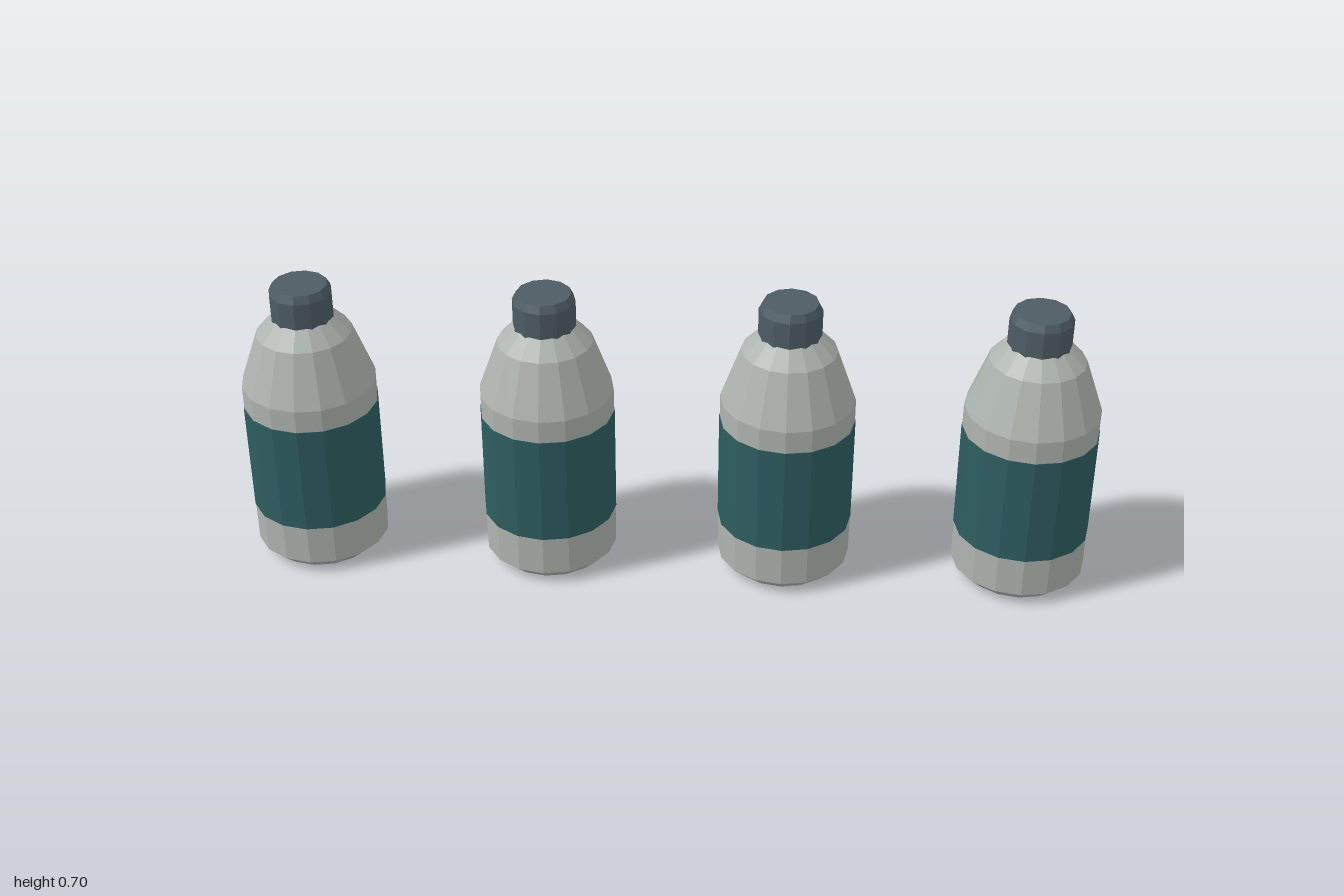
import * as THREE from 'three';

export function createModel() {
  const material = (name, color) => {
    const m = new THREE.MeshStandardMaterial({ color, flatShading: true });
    m.name = name;
    return m;
  };
  const bodyGrey = material('bodyGrey', 0xaeb4af);
  const labelTeal = material('labelTeal', 0x2e5d5f);
  const capSlate = material('capSlate', 0x4e5c64);

  // Faceted solid turned from [radius, height] pairs, listed bottom to top
  const turned = (profile, sides) =>
    new THREE.LatheGeometry(profile.map(([r, y]) => new THREE.Vector2(r, y)), sides);

  const parts = [
    // Body: chamfered foot, straight wall, sloping shoulder
    ['body', bodyGrey, turned([
      [0, 0], [0.125, 0], [0.157, 0.03], [0.157, 0.45],
      [0.111, 0.578], [0.07, 0.621], [0, 0.621],
    ], 16)],
    // Label: thin sleeve around the wall
    ['label', labelTeal, turned([
      [0.1565, 0.127], [0.1585, 0.127], [0.1585, 0.395], [0.1565, 0.395],
    ], 16)],
    // Cap: short cylinder with a chamfered top
    ['cap', capSlate, turned([
      [0, 0.612], [0.073, 0.612], [0.073, 0.682], [0.064, 0.7], [0, 0.7],
    ], 12)],
  ];

  // Row of four identical bottles
  const model = new THREE.Group();
  model.name = 'bottleRow';
  for (let i = 0; i < 4; i++) {
    const bottle = new THREE.Group();
    bottle.name = `bottle${i + 1}`;
    for (const [name, mat, geometry] of parts) {
      const mesh = new THREE.Mesh(geometry, mat);
      mesh.name = name;
      bottle.add(mesh);
    }
    bottle.position.x = (i - 1.5) * 0.561;
    model.add(bottle);
  }
  return model;
}
